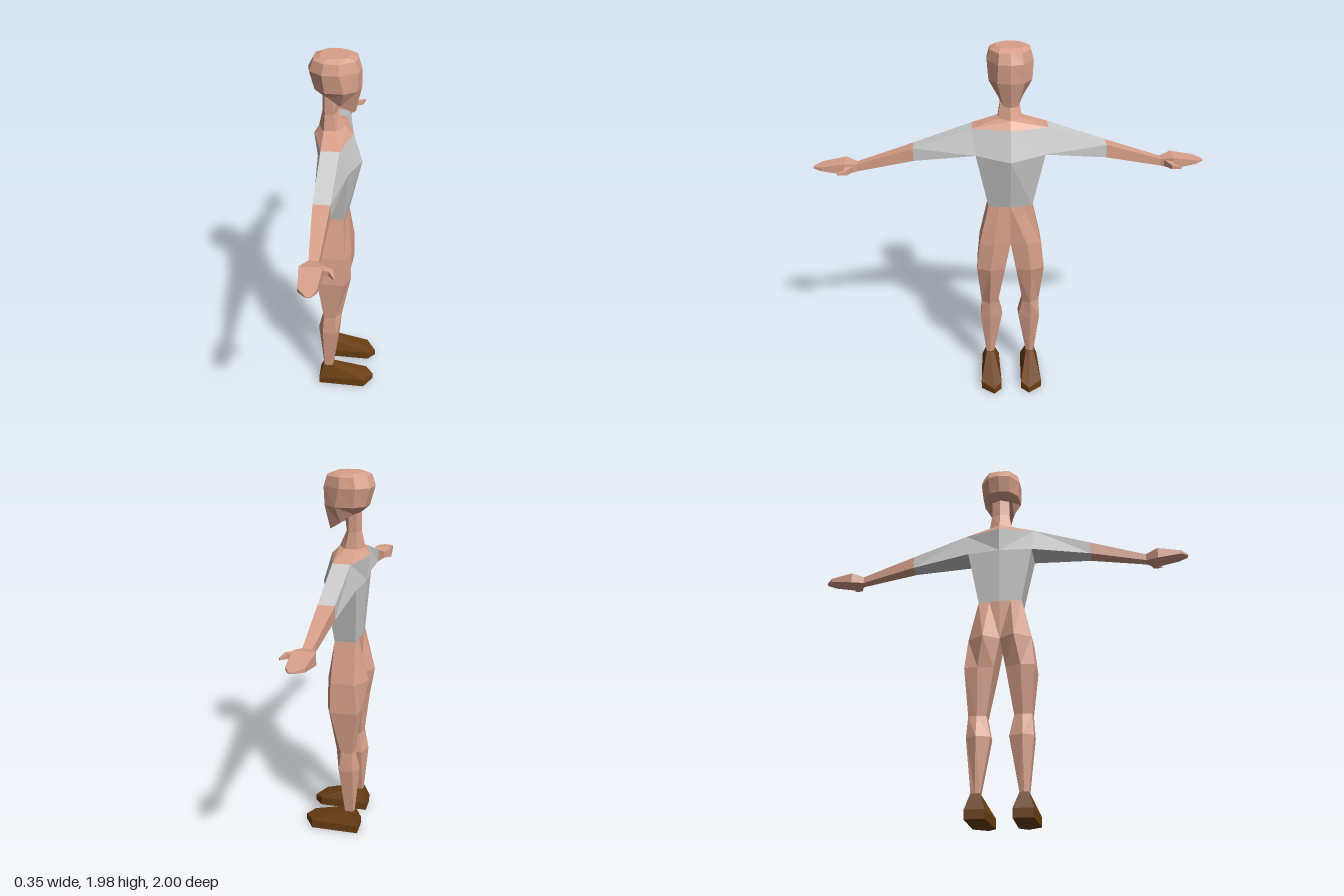
import * as THREE from 'three';

const skin = new THREE.MeshStandardMaterial({ color: 0xd8a08a, flatShading: true, side: THREE.DoubleSide });
const cloth = new THREE.MeshStandardMaterial({ color: 0xcccccc, flatShading: true, side: THREE.DoubleSide });
const leather = new THREE.MeshStandardMaterial({ color: 0x6b3e12, flatShading: true, side: THREE.DoubleSide });

// Facets joining successive rings of [x, y, z] points; side = -1 mirrors in z
function loft(rings, side, { closed = false, start = false, end = false } = {}) {
  const pos = [];
  const tri = (a, b, c) => {
    for (const p of side > 0 ? [a, b, c] : [a, c, b]) pos.push(p[0], p[1], p[2] * side);
  };
  const n = rings[0].length;
  for (let r = 0; r < rings.length - 1; r++) {
    const a = rings[r], b = rings[r + 1];
    for (let i = 0; i < (closed ? n : n - 1); i++) {
      const j = (i + 1) % n;
      tri(a[i], a[j], b[j]);
      tri(a[i], b[j], b[i]);
    }
  }
  const first = rings[0], last = rings[rings.length - 1];
  for (let i = 1; i < n - 1; i++) {
    if (start) tri(first[0], first[i + 1], first[i]);
    if (end) tri(last[0], last[i], last[i + 1]);
  }
  const g = new THREE.BufferGeometry();
  g.setAttribute('position', new THREE.Float32BufferAttribute(pos, 3));
  g.computeVertexNormals();
  return g;
}

// Horizontal ring at height y from [x, z] pairs, running front to back round the outside
const level = (y, ...pts) => pts.map(([x, z]) => [x, y, z]);
// Four-cornered section across the arm at distance z
const section = (z, xFront, xBack, top, bottom) =>
  [[xFront, top, z], [xBack, top, z], [xBack, bottom, z], [xFront, bottom, z]];

// Shared body rings
const waist = level(1.14, [0.02, 0], [0, 0.115], [-0.11, 0.115], [-0.12, 0]);
const chest = [[0.085, 1.42, 0], [0.03, 1.44, 0.175], [-0.125, 1.44, 0.175], [-0.14, 1.44, 0]];
const shoulder = level(1.57, [0.04, 0], [-0.01, 0.19], [-0.1, 0.19], [-0.155, 0]);
const hips = level(0.92, [0.02, 0], [0.04, 0.09], [0.01, 0.165], [-0.115, 0.165], [-0.175, 0.08], [-0.12, 0]);

const headRings = [
  level(1.975, [0.02, 0], [0.015, 0.05], [-0.03, 0.07], [-0.08, 0.07], [-0.11, 0.04], [-0.12, 0]),
  level(1.96, [0.06, 0], [0.052, 0.055], [-0.02, 0.098], [-0.09, 0.098], [-0.145, 0.055], [-0.15, 0]),
  level(1.91, [0.078, 0], [0.066, 0.06], [-0.02, 0.112], [-0.1, 0.11], [-0.163, 0.06], [-0.175, 0]),
  level(1.82, [0.078, 0], [0.06, 0.065], [0, 0.105], [-0.09, 0.1], [-0.14, 0.055], [-0.15, 0]),
  [[0.05, 1.695, 0], [0.04, 1.7, 0.035], [-0.02, 1.74, 0.065], [-0.08, 1.785, 0.065], [-0.11, 1.79, 0.04], [-0.115, 1.79, 0]],
];
const neckRings = [
  level(1.79, [-0.02, 0], [-0.055, 0.048], [-0.095, 0.048], [-0.11, 0]),
  level(1.69, [-0.035, 0], [-0.055, 0.048], [-0.095, 0.048], [-0.112, 0]),
  level(1.61, [0, 0], [-0.04, 0.06], [-0.1, 0.06], [-0.13, 0]),
  shoulder,
];
const pelvisRings = [
  level(1.14, [0.02, 0], [0.01, 0.0575], [0, 0.115], [-0.11, 0.115], [-0.115, 0.0575], [-0.12, 0]),
  hips,
];
const legRings = [
  hips,
  level(0.76, [0.02, 0.03], [0.04, 0.11], [0.01, 0.183], [-0.135, 0.18], [-0.145, 0.11], [-0.12, 0.03]),
  level(0.51, [-0.03, 0.07], [-0.01, 0.115], [-0.045, 0.162], [-0.105, 0.16], [-0.115, 0.115], [-0.1, 0.07]),
  level(0.4, [-0.045, 0.048], [-0.02, 0.115], [-0.035, 0.168], [-0.112, 0.168], [-0.14, 0.115], [-0.112, 0.046]),
  level(0.12, [-0.07, 0.095], [-0.06, 0.117], [-0.065, 0.14], [-0.11, 0.14], [-0.115, 0.117], [-0.11, 0.095]),
];
const sole = [[0.13, 0.057], [0.172, 0.1], [0.12, 0.173], [-0.14, 0.165], [-0.14, 0.065]];
const shoeRings = [
  level(0.125, [-0.06, 0.095], [-0.055, 0.117], [-0.06, 0.14], [-0.115, 0.14], [-0.115, 0.095]),
  sole.map(([x, z]) => [x, x > 0.15 ? 0.036 : x > 0 ? 0.05 : 0.045, z]),
  level(0, ...sole),
];

// Arm, hand and thumb sections
const cuff = section(0.49, -0.02, -0.1, 1.465, 1.397);
const wrist = section(0.78, -0.035, -0.08, 1.375, 1.338);
const armRoot = [shoulder[1], shoulder[2], chest[2], chest[1]];
const handRings = [
  wrist,
  section(0.84, -0.012, -0.112, 1.388, 1.33),
  section(0.96, -0.02, -0.1, 1.37, 1.35),
  section(1.0, -0.042, -0.062, 1.363, 1.357),
];
const thumbRings = [
  [[-0.04, 1.372, 0.79], [-0.03, 1.372, 0.835], [-0.03, 1.34, 0.835], [-0.04, 1.34, 0.79]],
  [[0.027, 1.368, 0.823], [0.012, 1.368, 0.84], [0.012, 1.345, 0.84], [0.027, 1.345, 0.823]],
  [[0.038, 1.36, 0.868], [0.034, 1.36, 0.87], [0.034, 1.35, 0.87], [0.038, 1.35, 0.868]],
];

export function createModel() {
  const model = new THREE.Group();
  model.name = 'figure';
  const tube = { closed: true };
  const capped = { closed: true, end: true };

  for (const side of [1, -1]) {
    const half = new THREE.Group();
    half.name = side > 0 ? 'rightHalf' : 'leftHalf';
    const add = (name, material, rings, options) => {
      const mesh = new THREE.Mesh(loft(rings, side, options), material);
      mesh.name = name;
      half.add(mesh);
    };
    add('head', skin, headRings, { start: true, end: true });
    add('neck', skin, neckRings);
    // Shirt, left open at the armhole
    add('shirtBody', cloth, [chest, waist]);
    add('shirtFront', cloth, [shoulder.slice(0, 2), chest.slice(0, 2)]);
    add('shirtBack', cloth, [shoulder.slice(2), chest.slice(2)]);
    add('sleeve', cloth, [armRoot, cuff], tube);
    add('forearm', skin, [cuff, wrist], tube);
    add('hand', skin, handRings, capped);
    add('thumb', skin, thumbRings, capped);
    // Lower body
    add('pelvis', skin, pelvisRings);
    add('leg', skin, legRings, tube);
    add('shoe', leather, shoeRings, { closed: true, start: true, end: true });
    model.add(half);
  }
  return model;
}
